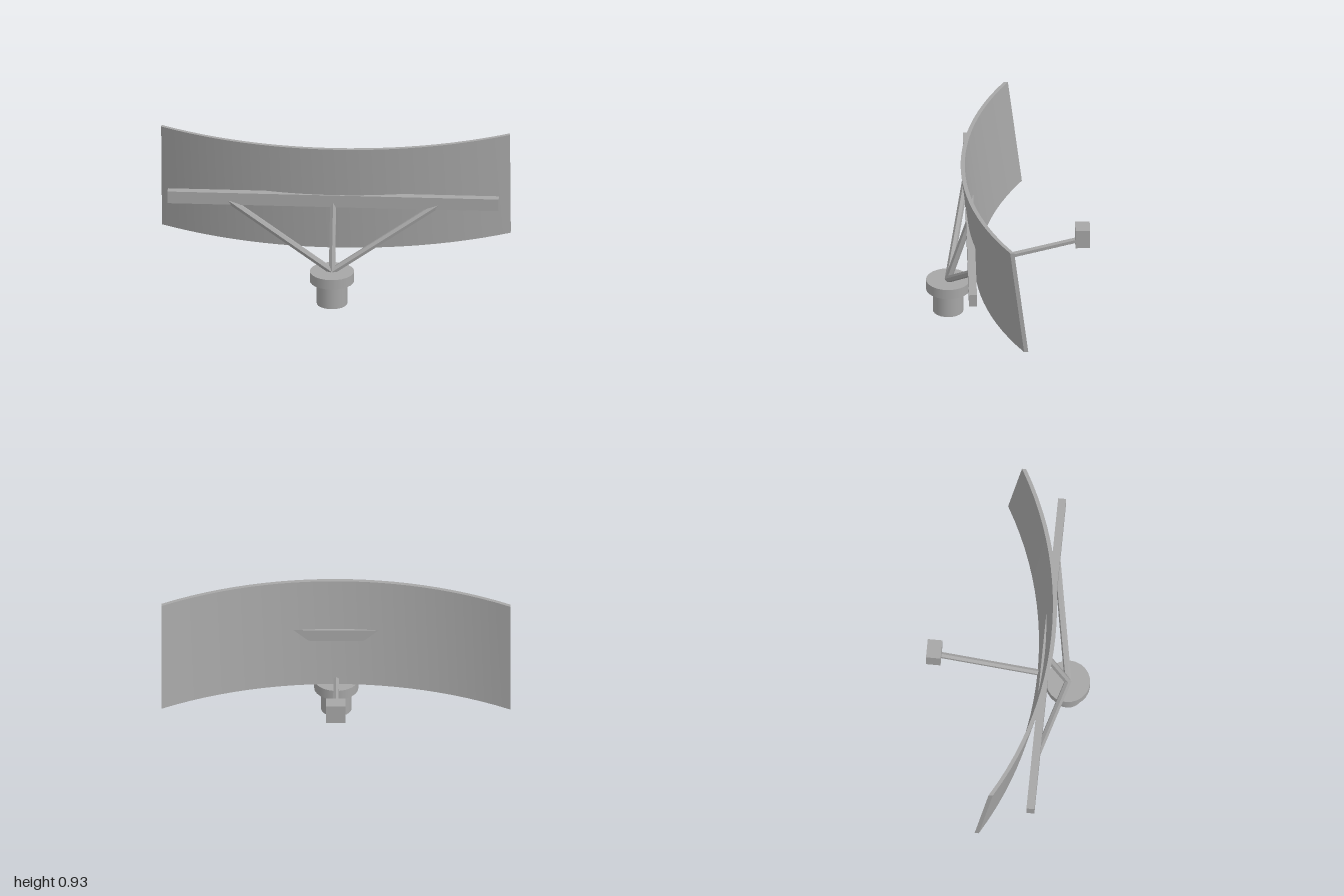
import * as THREE from 'three';
import { toCreasedNormals } from 'three/addons/utils/BufferGeometryUtils.js';

export function createModel() {
  const model = new THREE.Group();
  model.name = 'radarAntenna';
  const grey = new THREE.MeshStandardMaterial({ color: 0xa6a6a6 });
  grey.name = 'grey metal';

  const add = (name, geometry, x = 0, y = 0, z = 0) => {
    const mesh = new THREE.Mesh(geometry, grey);
    mesh.name = name;
    mesh.position.set(x, y, z);
    model.add(mesh);
    return mesh;
  };

  // Six-sided rod between two points
  const rod = (name, from, to, radius) => {
    const a = new THREE.Vector3(...from), b = new THREE.Vector3(...to);
    const dir = b.clone().sub(a);
    const geometry = new THREE.CylinderGeometry(radius, radius, dir.length(), 6);
    const mesh = add(name, toCreasedNormals(geometry, 0.5), ...a.add(b).multiplyScalar(0.5));
    mesh.quaternion.setFromUnitVectors(new THREE.Vector3(0, 1, 0), dir.normalize());
  };

  // Pedestal and turntable
  add('pedestal', new THREE.CylinderGeometry(0.088, 0.088, 0.14, 24), 0, 0.07, 0.342);
  add('turntable', new THREE.CylinderGeometry(0.127, 0.127, 0.06, 24), 0, 0.17, 0.342);

  // Reflector: an arc-shaped strip extruded upward and leaned toward +z
  const height = 0.65, lean = 0.08, thickness = 0.024, radius = 2.02, steps = 24;
  const arcZ = (x) => 0.166 - radius + Math.sqrt(radius * radius - x * x);
  const inner = [], outer = [];
  for (let i = 0; i <= steps; i++) {
    const x = -1 + (2 * i) / steps;
    inner.push(new THREE.Vector2(x, -arcZ(x)));
    outer.unshift(new THREE.Vector2(x, -arcZ(x) - thickness));
  }
  const strip = new THREE.ExtrudeGeometry(new THREE.Shape([...inner, ...outer]), {
    depth: height, bevelEnabled: false,
  });
  strip.rotateX(-Math.PI / 2);
  const p = strip.attributes.position;
  for (let i = 0; i < p.count; i++) p.setZ(i, p.getZ(i) + (lean * p.getY(i)) / height);
  add('reflector', toCreasedNormals(strip, 0.5), 0, 0.28, 0);

  // Crossbeam behind the reflector and its three struts
  add('crossbeam', new THREE.BoxGeometry(1.9, 0.073, 0.046), 0, 0.592, 0.217);
  for (const x of [-0.62, 0, 0.62]) {
    rod('strut', [0, 0.2, 0.342], [x, 0.59, 0.217], 0.02);
  }

  // Feed arm and feed horn
  rod('feedArm', [0, 0.305, 0.175], [0, 0.457, -0.42], 0.018);
  add('feedHorn', new THREE.BoxGeometry(0.112, 0.113, 0.084), 0, 0.484, -0.428);

  return model;
}
